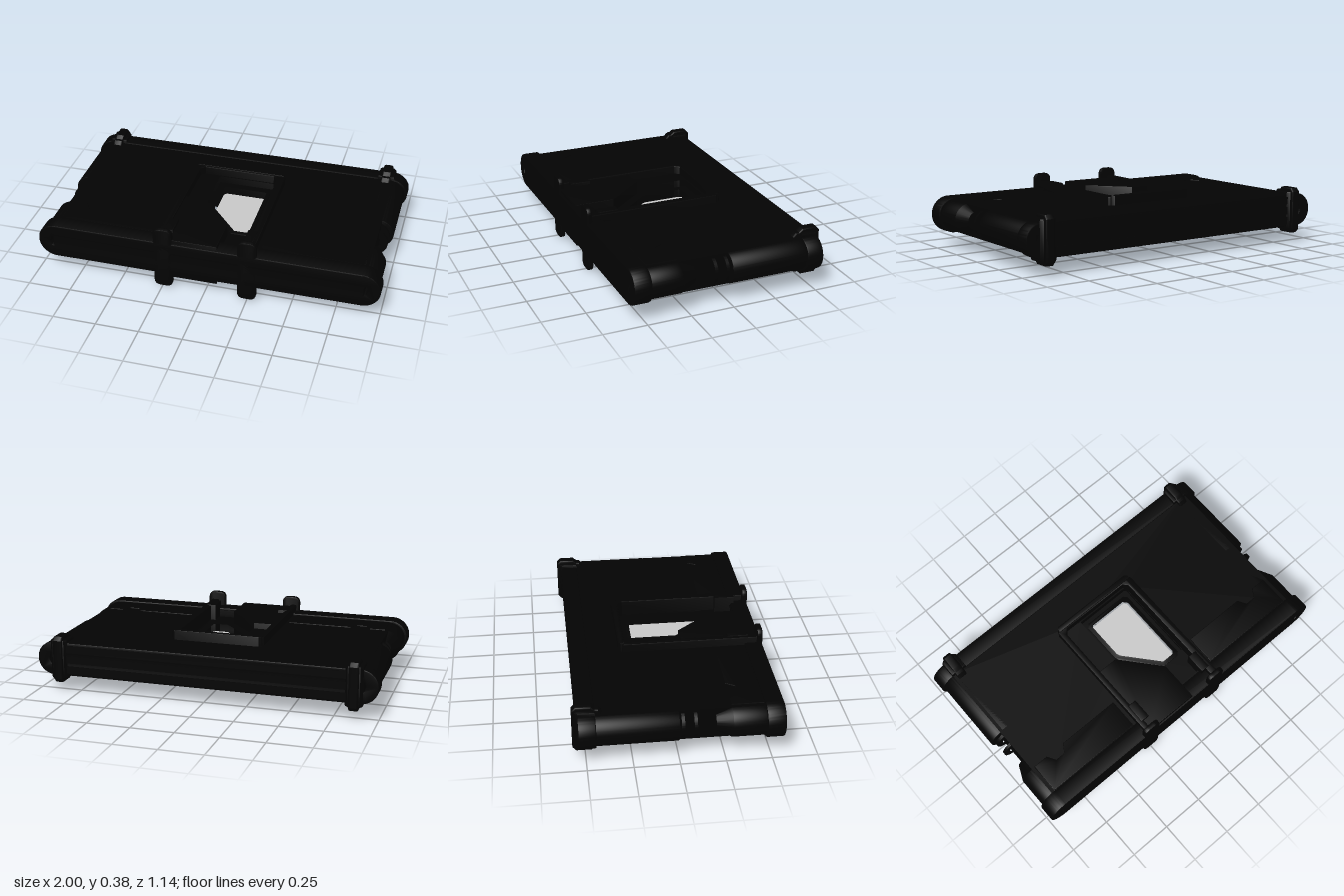
import * as THREE from 'three';
import { toCreasedNormals } from 'three/addons/utils/BufferGeometryUtils.js';

const CY = 0.1925; // mid height; the device is the same above and below it

export function createModel() {
  const model = new THREE.Group();
  const black = new THREE.MeshStandardMaterial({ color: 0x030303 });
  black.name = 'black casing';
  const glass = new THREE.MeshStandardMaterial({ color: 0xcbcbcb, side: THREE.DoubleSide });
  glass.name = 'grey glass';

  const add = (name, geo, mat = black) => {
    const m = new THREE.Mesh(toCreasedNormals(geo, 0.6), mat);
    m.name = name;
    model.add(m);
    return m;
  };
  const box = (name, x0, x1, y0, y1, z0, z1) => {
    const g = new THREE.BoxGeometry(x1 - x0, y1 - y0, z1 - z0);
    g.translate((x0 + x1) / 2, (y0 + y1) / 2, (z0 + z1) / 2);
    return add(name, g);
  };
  const outline = (pts, C = THREE.Shape) => new C(pts.map(([x, z]) => new THREE.Vector2(x, -z)));

  // Slab cut from a plan outline (x, z), reaching h above and below mid height
  const slab = (name, pts, h, holes = [], bevel = 0.006, mat = black) => {
    const s = outline(pts);
    s.holes = holes.map((p) => outline(p, THREE.Path));
    const g = new THREE.ExtrudeGeometry(s, {
      depth: 2 * (h - bevel), bevelEnabled: bevel > 0, bevelSize: bevel,
      bevelThickness: bevel, bevelOffset: -bevel, bevelSegments: 2,
    });
    g.rotateX(-Math.PI / 2);
    g.translate(0, CY - h + bevel, 0);
    return add(name, g, mat);
  };
  // Section (x, y) run along z, with an optional rule that moves its vertices
  const run = (name, shape, z0, z1, bevel = 0, rule) => {
    const g = new THREE.ExtrudeGeometry(shape, {
      depth: z1 - z0 - 2 * bevel, bevelEnabled: bevel > 0, bevelSize: bevel,
      bevelThickness: bevel, bevelOffset: -bevel, bevelSegments: 2, curveSegments: 20,
    });
    g.translate(0, CY, z0 + bevel);
    if (rule) {
      const p = g.attributes.position;
      const v = new THREE.Vector3();
      for (let i = 0; i < p.count; i++) {
        rule(v.fromBufferAttribute(p, i));
        p.setXYZ(i, v.x, v.y, v.z);
      }
      g.computeVertexNormals();
    }
    return add(name, g);
  };
  // Narrow gap that runs through each rounded end
  const gap = (side) => {
    const p = new THREE.Path();
    p.moveTo(side * 0.909, -0.03);
    p.lineTo(side * 0.918, -0.027);
    p.quadraticCurveTo(side * 0.936, 0, side * 0.918, 0.027);
    p.lineTo(side * 0.909, 0.03);
    p.closePath();
    return p;
  };
  // Rounded bar across the full width
  const stadium = (w, r) => {
    const s = new THREE.Shape();
    s.absarc(w - r, 0, r, -Math.PI / 2, Math.PI / 2, false);
    s.absarc(-w + r, 0, r, Math.PI / 2, Math.PI * 1.5, false);
    s.closePath();
    s.holes = [gap(1), gap(-1)];
    return s;
  };
  // Rounded side cover only
  const sideCover = (side, w, r) => {
    const s = new THREE.Shape();
    s.moveTo(side * 0.85, -r);
    if (side > 0) s.absarc(w - r, 0, r, -Math.PI / 2, Math.PI / 2, false);
    else s.absarc(-w + r, 0, r, -Math.PI / 2, Math.PI / 2, true);
    s.lineTo(side * 0.85, r);
    s.closePath();
    s.holes = [gap(side)];
    return s;
  };

  // Deck with a recess whose floor holds the window and a slit
  const windowPts = [[-0.07, -0.175], [0.17, -0.175], [0.185, -0.16], [0.185, 0.265], [0.17, 0.28],
    [0.095, 0.28], [-0.075, 0.085], [-0.085, 0.06], [-0.085, -0.16]];
  const slitPts = [[0.226, -0.21], [0.232, -0.21], [0.232, 0.29], [0.226, 0.29]];
  const recessPts = [[-0.125, -0.22], [0.236, -0.22], [0.236, 0.46], [0.07, 0.46], [0.07, 0.325],
    [-0.125, 0.1]];
  slab('deck', [[-0.911, -0.46], [0.911, -0.46], [0.911, 0.48], [-0.911, 0.48]], 0.0925, [recessPts], 0);
  slab('recessFloor', recessPts, 0.05, [windowPts, slitPts], 0);
  slab('windowPane', windowPts, 0.003, [], 0, glass);

  // Low window surround and the raised plate beside it
  slab('windowRim', [[-0.085, -0.195], [0.185, -0.195], [0.205, -0.175], [0.205, 0.285], [0.185, 0.302],
    [0.082, 0.302], [-0.098, 0.098], [-0.107, 0.068], [-0.107, -0.175]], 0.056, [windowPts], 0.003);
  slab('innerPlate', [[-0.25, 0.1], [-0.125, 0.1], [0.07, 0.325], [0.07, 0.56], [-0.25, 0.56]],
    0.128, [], 0.004);

  // Raised frame, open toward the front
  slab('frame', [[-0.25, -0.262], [0.25, -0.262], [0.28, -0.235], [0.28, 0.565], [0.235, 0.565], [0.235, -0.2],
    [0.21, -0.228], [-0.22, -0.228], [-0.245, -0.2], [-0.245, 0.565], [-0.28, 0.565], [-0.28, -0.235]], 0.1425);
  slab('frameRearRib', [[-0.255, -0.267], [0.255, -0.267], [0.27, -0.255], [0.27, -0.235], [-0.27, -0.235],
    [-0.27, -0.255]], 0.15, [], 0.004);

  // Front and rear rails
  run('frontRail', stadium(1, 0.105), 0.468, 0.57, 0.008);
  run('rearRail', stadium(1, 0.098), -0.54, -0.445, 0.006);
  for (const y of [-0.062, 0, 0.062]) {
    box('rearRidge', -0.82, 0.82, CY + y - 0.022, CY + y + 0.022, -0.545, -0.52);
  }

  for (const s of [-1, 1]) {
    const mirror = (pts) => pts.map(([x, z]) => [s * x, z]);

    // Rounded side covers, the front one tapering rearward
    run('rearSideCover', sideCover(s, 0.985, 0.0925), -0.45, 0, 0.004);
    run('frontSideCover', sideCover(s, 0.985, 0.0925), 0.285, 0.475, 0.004);
    run('taperedCover', sideCover(s, 0.985, 0.0925), 0.2, 0.287, 0, (v) => {
      if (v.z > 0.21) return;
      const dx = v.x - s * 0.89, dy = v.y - CY, r = Math.hypot(dx, dy);
      if (r > 0.06 && s * dx > -0.001) {
        v.x = s * 0.89 + (dx * 0.055) / r;
        v.y = CY + (dy * 0.055) / r;
      }
    });

    // Thin fins in the side notch
    for (const z of [0.02, 0.088]) run('sideFin', sideCover(s, 0.965, 0.08), z - 0.009, z + 0.009);

    // Front shoulder plates with a notch
    slab('shoulderPlate', mirror([[0.3, 0.285], [0.68, 0.285], [0.71, 0.335], [0.77, 0.335], [0.8, 0.285],
      [0.89, 0.285], [0.89, 0.465], [0.3, 0.465]]), 0.098, [], 0.004);

    // Rear corner clamps: a broad band with a rounded rib over it
    slab('clampBand', mirror([[0.815, -0.54], [0.83, -0.556], [0.9, -0.556], [0.915, -0.54], [0.915, -0.445],
      [0.815, -0.445]]), 0.118, [], 0.012);
    const clamp = new THREE.Shape([[-0.57, -0.115], [-0.55, -0.137], [-0.465, -0.137], [-0.445, -0.118],
      [-0.425, -0.118], [-0.408, -0.095], [-0.408, 0.095], [-0.425, 0.118], [-0.445, 0.118], [-0.465, 0.137],
      [-0.55, 0.137], [-0.57, 0.115]].map(([z, y]) => new THREE.Vector2(-z, y)));
    const cg = new THREE.ExtrudeGeometry(clamp, {
      depth: 0.036, bevelSize: 0.01, bevelThickness: 0.01, bevelOffset: -0.01, bevelSegments: 3,
    });
    cg.rotateY(Math.PI / 2);
    cg.translate(s * 0.865 - 0.018, CY, 0);
    add('clampRib', cg);

    // Front straps, upright and rounded
    const c = 0.04, h = 0.1925;
    const a = s > 0 ? 0.19 : -0.3, b = a + 0.11;
    const strap = new THREE.Shape();
    strap.moveTo(a + c, -h);
    strap.lineTo(b - c, -h);
    strap.quadraticCurveTo(b, -h, b, -h + c);
    strap.lineTo(b, h - c);
    strap.quadraticCurveTo(b, h, b - c, h);
    strap.lineTo(a + c, h);
    strap.quadraticCurveTo(a, h, a, h - c);
    strap.lineTo(a, -h + c);
    strap.quadraticCurveTo(a, -h, a + c, -h);
    run('frontStrap', strap, 0.54, 0.57, 0.006);

    // Raised pads on the frame behind the straps
    slab('framePad', mirror([[0.205, 0.37], [0.26, 0.37], [0.26, 0.49], [0.205, 0.49]]), 0.148, [], 0.006);
  }
  return model;
}
